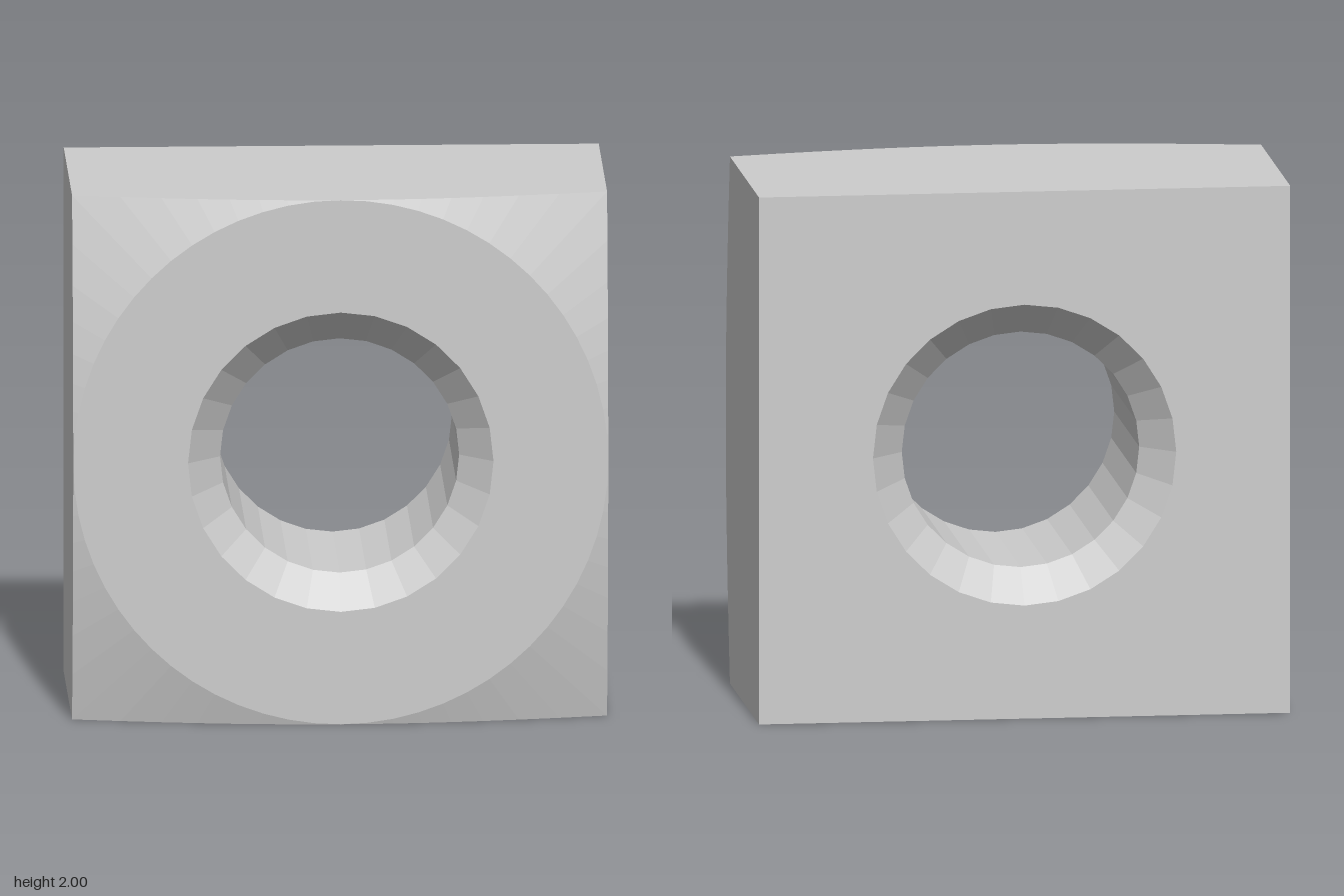
import * as THREE from 'three';

const HALF = 1, DEPTH = 0.5;            // half width of the square, half thickness
const BORE = 0.447, MOUTH = 0.571;      // bore radius and countersink radius
const SINK = 0.125;                     // countersink depth
const SLOPE = 0.125 / (Math.SQRT2 - 1); // corner chamfer drop per unit of radius
const OUTER_SIDES = 64, BORE_SIDES = 28;

// Distance from the centre to the square's edge at angle a
const squareRadius = a => HALF / Math.max(Math.abs(Math.cos(a)), Math.abs(Math.sin(a)));

// Points round the z axis, starting at the top
function ring(sides, radiusAt, zAt) {
  return Array.from({ length: sides }, (_, i) => {
    const a = Math.PI / 2 + (i / sides) * Math.PI * 2;
    const r = radiusAt(a);
    return new THREE.Vector3(Math.cos(a) * r, Math.sin(a) * r, zAt(r));
  });
}

// Skin between successive rings
function loft(rings) {
  const n = rings[0].length, index = [];
  for (let k = 0; k < rings.length - 1; k++) {
    for (let i = 0; i < n; i++) {
      const a = k * n + i, b = k * n + (i + 1) % n;
      index.push(a, b, b + n, a, b + n, a + n);
    }
  }
  const geometry = new THREE.BufferGeometry().setFromPoints(rings.flat());
  geometry.setIndex(index);
  const flat = geometry.toNonIndexed();
  flat.computeVertexNormals();
  return flat;
}

// Flat face bounded by a ring, with the countersink mouth cut out
function face(outline, mouth) {
  const shape = new THREE.Shape(outline.map(p => new THREE.Vector2(p.x, p.y)));
  shape.holes.push(new THREE.Path(mouth.map(p => new THREE.Vector2(p.x, p.y))));
  return new THREE.ShapeGeometry(shape);
}

export function createModel() {
  const model = new THREE.Group();
  model.name = 'squareNut';
  const steel = new THREE.MeshStandardMaterial({ color: 0xcccccc, flatShading: true });
  steel.name = 'light grey steel';

  const add = (name, geometry) => {
    const mesh = new THREE.Mesh(geometry, steel);
    mesh.name = name;
    mesh.position.y = HALF;
    model.add(mesh);
    return mesh;
  };

  const backEdge = ring(OUTER_SIDES, squareRadius, () => -DEPTH);
  const chamferEdge = ring(OUTER_SIDES, squareRadius, r => DEPTH - SLOPE * (r - HALF));
  const frontCircle = ring(OUTER_SIDES, () => HALF, () => DEPTH);
  const circle = (r, z) => ring(BORE_SIDES, () => r, () => z);
  const mouth = circle(MOUTH, DEPTH);

  // Four side walls and the conical corner chamfer
  add('sideWalls', loft([backEdge, chamferEdge]));
  add('cornerChamfer', loft([chamferEdge, frontCircle]));

  // Bore with a countersink at each end
  add('frontCountersink', loft([mouth, circle(BORE, DEPTH - SINK)]));
  add('bore', loft([circle(BORE, DEPTH - SINK), circle(BORE, SINK - DEPTH)]));
  add('backCountersink', loft([circle(BORE, SINK - DEPTH), circle(MOUTH, -DEPTH)]));

  // Round front face and square back face
  add('frontFace', face(frontCircle, mouth)).position.z = DEPTH;
  const back = add('backFace', face(backEdge, mouth));
  back.position.z = -DEPTH;
  back.rotation.y = Math.PI;

  return model;
}
